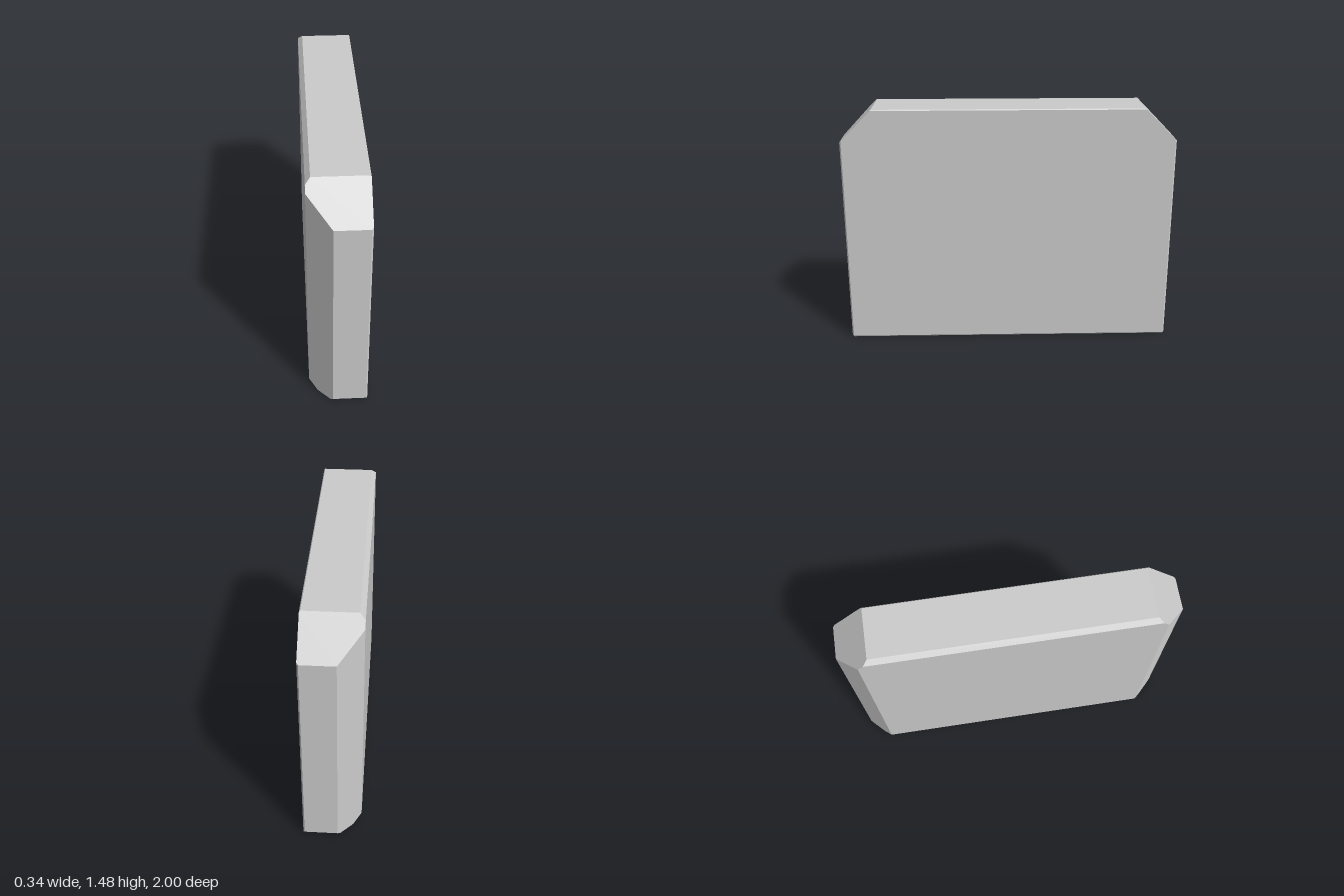
import * as THREE from 'three';
import { ConvexGeometry } from 'three/addons/geometries/ConvexGeometry.js';

// Plane through point (x, y, z) with outward normal (nx, ny, nz)
const plane = (nx, ny, nz, x, y, z) => {
  const n = new THREE.Vector3(nx, ny, nz).normalize();
  return { n, d: n.dot(new THREE.Vector3(x, y, z)) };
};

// Corner points of the solid enclosed by all planes
function corners(planes) {
  const points = [];
  const c = new THREE.Vector3();
  for (let i = 0; i < planes.length; i++)
    for (let j = i + 1; j < planes.length; j++)
      for (let k = j + 1; k < planes.length; k++) {
        const [a, b, e] = [planes[i], planes[j], planes[k]];
        const det = a.n.dot(c.crossVectors(b.n, e.n));
        if (Math.abs(det) < 1e-6) continue;
        const p = new THREE.Vector3()
          .addScaledVector(c.crossVectors(b.n, e.n), a.d / det)
          .addScaledVector(c.crossVectors(e.n, a.n), b.d / det)
          .addScaledVector(c.crossVectors(a.n, b.n), e.d / det);
        if (planes.every(q => q.n.dot(p) <= q.d + 1e-6) &&
            !points.some(q => q.distanceTo(p) < 1e-4)) points.push(p);
      }
  return points;
}

export function createModel() {
  const H = 1.475, L = -0.17, R = 0.168;
  const planes = [
    // broad sides, base and top
    plane(-1, 0, 0, L, 0, 0),
    plane(1, 0, 0, R, 0, 0),
    plane(0, -1, 0, 0, 0, 0),
    plane(0, 1, 0, 0, H, 0),
    // chamfers along the base and top of the right side
    plane(-1, -1, 0, L, 0.048, 0),
    plane(-1, 1, 0, L, H - 0.028, 0),
    // fine bevels along the base and top of the left side
    plane(1, -1, 0, R, 0.009, 0),
    plane(1, 1, 0, R, H - 0.006, 0),
  ];
  for (const s of [1, -1]) {
    planes.push(
      plane(0, 0, s, 0, 0, s),                // end face
      plane(0, 1, s, 0, 1.28, s),             // sloped upper corner
      plane(-1, 0, s, -0.035, 0, s),          // wide upright chamfer
      plane(1, 0, s, R - 0.009, 0, s),        // fine upright bevel
      plane(0, -1, s, 0, 0.014, s),           // fine bevel at the base
    );
  }

  const group = new THREE.Group();
  group.name = 'chamferedSlab';
  const slab = new THREE.Mesh(
    new ConvexGeometry(corners(planes)),
    new THREE.MeshStandardMaterial({ color: 0xcccccc, flatShading: true })
  );
  slab.name = 'slab';
  group.add(slab);
  return group;
}
